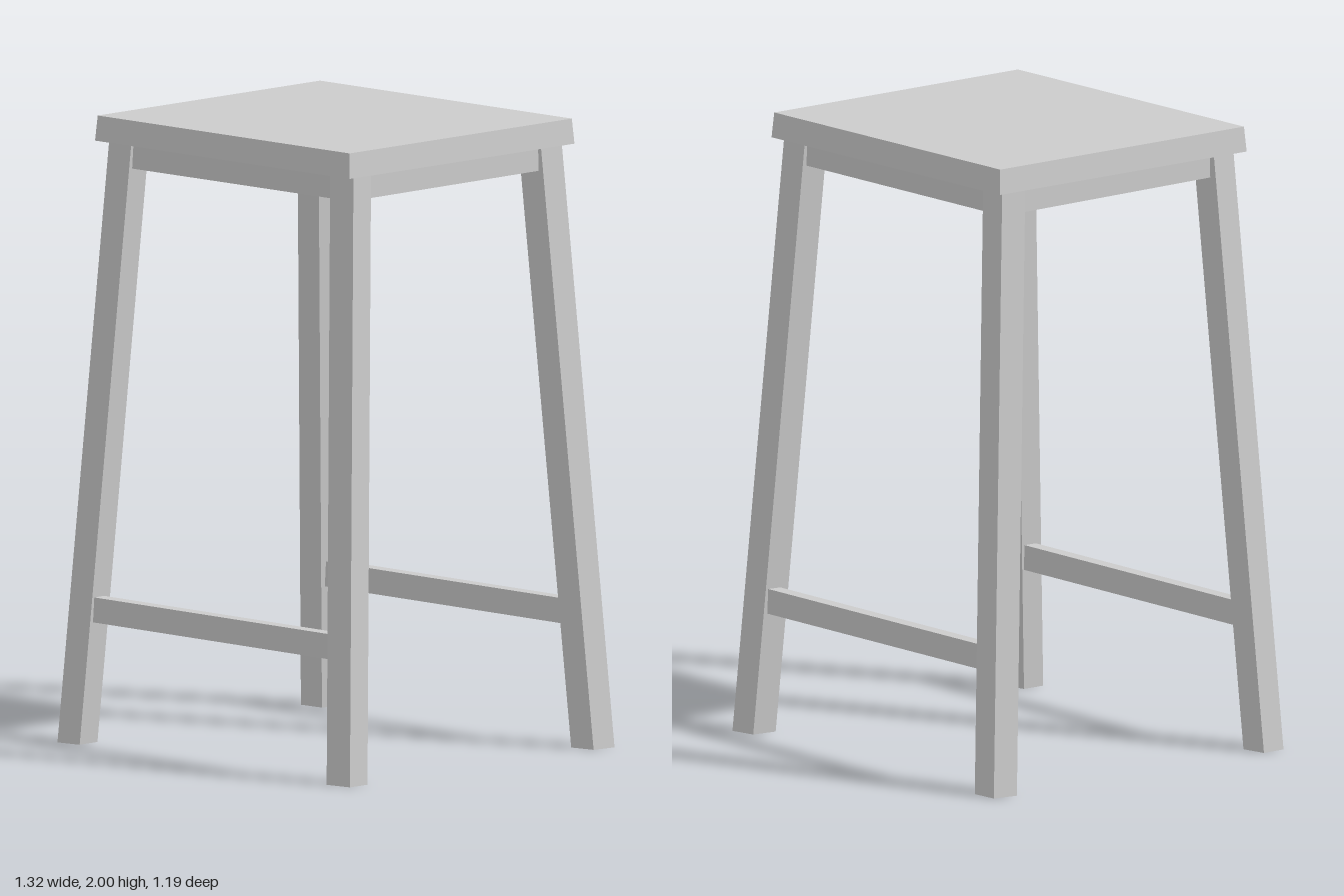
import * as THREE from 'three';

const SEAT_TOP = 2;
const SEAT_BOTTOM = 1.92;

// Each leg: outer foot corner, its neighbours along x and z, and the lean of the top (all [x, z])
const LEGS = {
  frontLeft: { sx: 1, sz: 1, outer: [0.648, 0.573], alongX: [0.559, 0.588], alongZ: [0.648, 0.495], lean: [-0.105, -0.12] },
  frontRight: { sx: -1, sz: 1, outer: [-0.655, 0.576], alongX: [-0.57, 0.562], alongZ: [-0.658, 0.494], lean: [0.14, -0.09] },
  backLeft: { sx: 1, sz: -1, outer: [0.654, -0.596], alongX: [0.57, -0.58], alongZ: [0.644, -0.513], lean: [-0.135, 0.1] },
  backRight: { sx: -1, sz: -1, outer: [-0.648, -0.594], alongX: [-0.559, -0.599], alongZ: [-0.661, -0.511], lean: [0.1, 0.115] },
};

export function createModel() {
  const group = new THREE.Group();
  const material = new THREE.MeshStandardMaterial({ color: 0xcccccc, flatShading: true });

  const add = (name, geometry) => {
    const mesh = new THREE.Mesh(geometry, material);
    mesh.name = name;
    group.add(mesh);
    return mesh;
  };

  // Box whose vertices are moved by a rule
  const shapedBox = (w, h, d, rule) => {
    const geometry = new THREE.BoxGeometry(w, h, d);
    const pos = geometry.attributes.position;
    for (let i = 0; i < pos.count; i++) {
      pos.setXYZ(i, ...rule(pos.getX(i), pos.getY(i), pos.getZ(i)));
    }
    geometry.computeVertexNormals();
    return geometry;
  };

  // Seat slab, flaring slightly towards its underside
  const seat = add('seat', shapedBox(1.11, SEAT_TOP - SEAT_BOTTOM, 1.0, (x, y, z) => {
    const flare = y < 0 ? 0.006 : 0;
    return [x + Math.sign(x) * flare, y, z + Math.sign(z) * flare];
  }));
  seat.position.set(-0.006, (SEAT_TOP + SEAT_BOTTOM) / 2, -0.01);
  seat.rotation.y = 0.013;

  // Four splayed legs with level feet
  for (const [name, { sx, sz, outer, alongX, alongZ, lean }] of Object.entries(LEGS)) {
    add(name + 'Leg', shapedBox(1, 1, 1, (x, y, z) => {
      const s = 0.5 - x * sx, t = 0.5 - z * sz, k = y + 0.5;
      const at = (i) => outer[i] + (alongX[i] - outer[i]) * s + (alongZ[i] - outer[i]) * t + lean[i] * k;
      return [at(0), k * SEAT_BOTTOM, at(1)];
    }));
  }

  // Centre of a leg at a given height
  const legCentre = (name, y) => {
    const { alongX, alongZ, lean } = LEGS[name];
    const at = (i) => (alongX[i] + alongZ[i]) / 2 + lean[i] * y / SEAT_BOTTOM;
    return new THREE.Vector3(at(0), y, at(1));
  };

  // Rail running level between two legs
  const addRail = (name, legA, legB, y, thickness) => {
    const a = legCentre(legA, y), b = legCentre(legB, y);
    const rail = add(name, new THREE.BoxGeometry(a.distanceTo(b), 0.08, thickness));
    rail.position.copy(a).lerp(b, 0.5);
    rail.rotation.y = -Math.atan2(b.z - a.z, b.x - a.x);
  };

  // Apron frame under the seat
  addRail('frontApron', 'frontRight', 'frontLeft', 1.88, 0.045);
  addRail('backApron', 'backRight', 'backLeft', 1.88, 0.045);
  addRail('leftApron', 'frontLeft', 'backLeft', 1.88, 0.045);
  addRail('rightApron', 'frontRight', 'backRight', 1.88, 0.045);

  // Low stretchers at front and back
  addRail('frontStretcher', 'frontRight', 'frontLeft', 0.43, 0.045);
  addRail('backStretcher', 'backRight', 'backLeft', 0.43, 0.045);

  return group;
}
